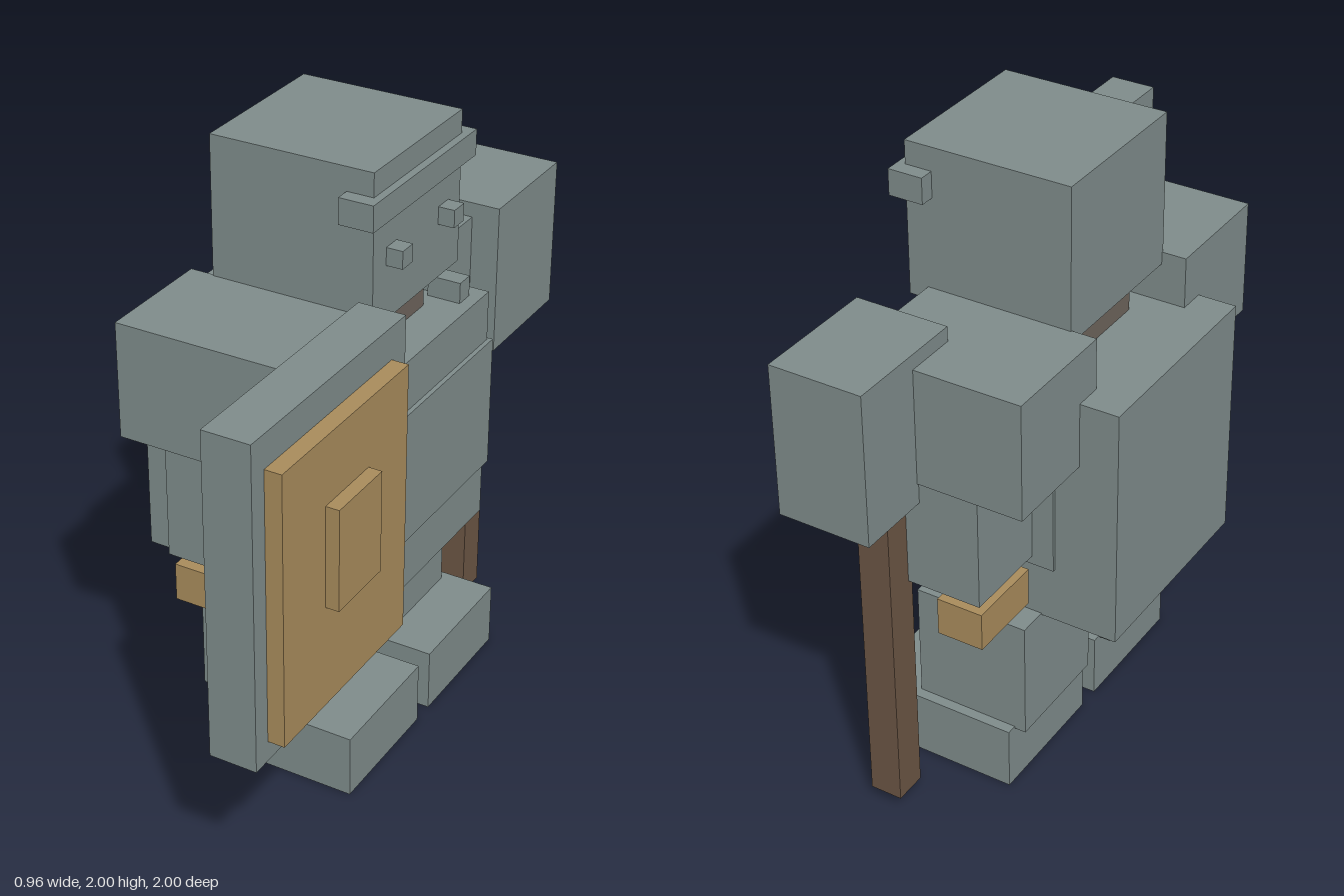
import * as THREE from 'three';

export function createModel() {
  const model = new THREE.Group();
  model.name = 'stoneGuardian';

  const mat = (name, color) => {
    const m = new THREE.MeshStandardMaterial({ color });
    m.name = name;
    return m;
  };
  const stone = mat('stone grey', 0x7f8c8b);
  const tan = mat('tan', 0xa98c5c);
  const wood = mat('dark wood', 0x6b5544);
  const neckBrown = mat('neck brown', 0x6d645c);

  // Box given by its lower and upper limits on each axis
  const box = (name, material, [x0, x1], [y0, y1], [z0, z1], parent = model) => {
    const mesh = new THREE.Mesh(new THREE.BoxGeometry(x1 - x0, y1 - y0, z1 - z0), material);
    mesh.position.set((x0 + x1) / 2, (y0 + y1) / 2, (z0 + z1) / 2);
    mesh.name = name;
    parent.add(mesh);
  };

  // Body is symmetric about this z; the figure looks along +x
  const MID = -0.11;
  const pair = (name, material, x, y, [near, far]) => {
    box(name + 'A', material, x, y, [MID + near, MID + far]);
    box(name + 'B', material, x, y, [MID - far, MID - near]);
  };

  // Torso with a slightly wider belly plate
  box('torso', stone, [-0.48, 0.33], [0.595, 1.385], [-0.457, 0.235]);
  box('bellyPlate', stone, [-0.275, 0.345], [0.78, 1.22], [-0.467, 0.245]);

  // Neck, head and brow
  box('neck', neckBrown, [-0.22, 0.2], [1.38, 1.512], [-0.275, 0.055]);
  box('head', stone, [-0.275, 0.262], [1.51, 2.0], [-0.372, 0.153]);
  box('brow', stone, [0.175, 0.287], [1.842, 1.925], [-0.42, 0.2]);
  pair('eye', stone, [0.25, 0.315], [1.685, 1.742], [0.127, 0.187]);
  pair('collarBlock', stone, [0.18, 0.29], [1.38, 1.453], [0.23, 0.292]);

  // Arms
  pair('shoulder', stone, [-0.355, 0.198], [1.175, 1.55], [0.257, 0.652]);
  pair('forearm', stone, [-0.205, 0.185], [0.812, 1.18], [0.36, 0.645]);
  pair('hand', tan, [-0.198, -0.047], [0.642, 0.767], [0.37, 0.625]);

  // Legs
  pair('leg', stone, [-0.228, 0.15], [0.205, 0.6], [0.068, 0.443]);
  pair('foot', stone, [-0.19, 0.322], [0, 0.212], [0.037, 0.477]);

  // Shield with raised panel and boss
  const shield = new THREE.Group();
  shield.name = 'shield';
  model.add(shield);
  box('shieldSlab', stone, [0.23, 0.383], [0.55, 1.605], [0.178, 1.0], shield);
  box('shieldPanel', tan, [0.383, 0.437], [0.617, 1.5], [0.257, 0.938], shield);
  box('shieldBoss', tan, [0.437, 0.48], [0.953, 1.283], [0.48, 0.715], shield);

  // Hammer
  const hammer = new THREE.Group();
  hammer.name = 'hammer';
  model.add(hammer);
  box('hammerHandle', wood, [0.037, 0.142], [0.04, 1.108], [-0.845, -0.737], hammer);
  box('hammerHead', stone, [-0.012, 0.29], [1.106, 1.598], [-1.0, -0.59], hammer);

  return model;
}
